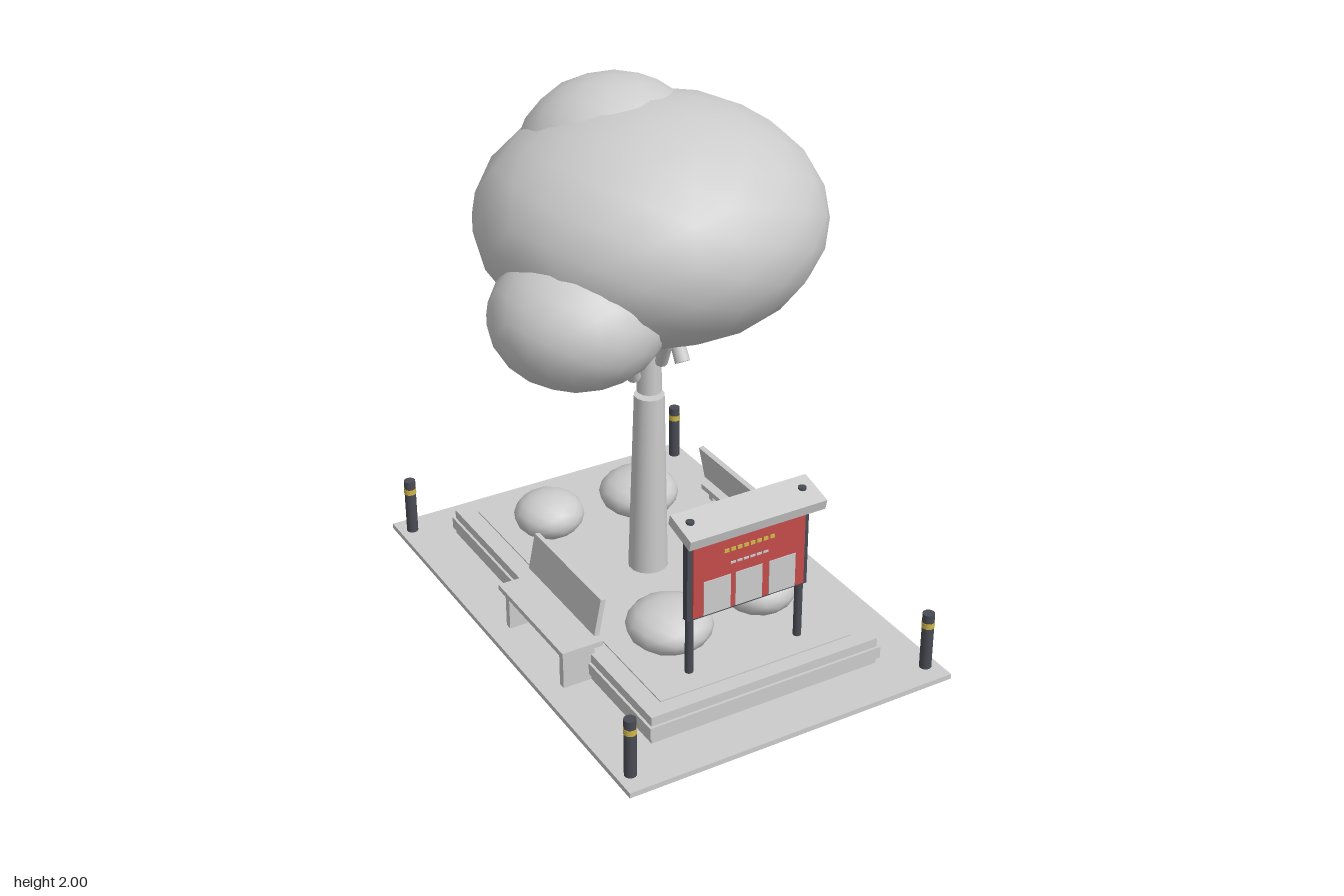
import * as THREE from 'three';

const mat = (name, color) => {
  const m = new THREE.MeshStandardMaterial({ color });
  m.name = name;
  return m;
};

export function createModel() {
  const root = new THREE.Group();
  root.name = 'parkIsland';
  const pale = mat('paleGrey', 0xcccccc);
  const dark = mat('darkMetal', 0x4a4c55);
  const red = mat('boardRed', 0xc44c4a);
  const yellow = mat('yellow', 0xd2b84a);

  const add = (name, geo, m, x, y, z, parent = root) => {
    const mesh = new THREE.Mesh(geo, m);
    mesh.name = name;
    mesh.position.set(x, y, z);
    parent.add(mesh);
    return mesh;
  };
  // Box given by its limits on each axis
  const box = (name, m, x0, x1, y0, y1, z0, z1, parent = root) =>
    add(name, new THREE.BoxGeometry(x1 - x0, y1 - y0, z1 - z0), m,
      (x0 + x1) / 2, (y0 + y1) / 2, (z0 + z1) / 2, parent);
  // Smooth faceted-outline ellipsoid
  const blob = (name, detail, c, r) =>
    add(name, new THREE.IcosahedronGeometry(1, detail).scale(...r), pale, ...c);
  // Tapered round limb between two points
  const limb = (name, a, b, r0, r1, sides = 12) => {
    const from = new THREE.Vector3(...a), dir = new THREE.Vector3(...b).sub(from);
    const mesh = add(name, new THREE.CylinderGeometry(r1, r0, dir.length(), sides), pale,
      ...from.clone().addScaledVector(dir, 0.5).toArray());
    mesh.quaternion.setFromUnitVectors(new THREE.Vector3(0, 1, 0), dir.normalize());
    return mesh;
  };

  // Paving and stepped planter
  const cx = -0.03;
  box('paving', pale, -0.68, 0.62, 0, 0.02, -0.96, 0.96);
  box('planterFoot', pale, cx - 0.46, cx + 0.46, 0.02, 0.045, -0.77, 0.77);
  box('planterWall', pale, cx - 0.47, cx + 0.47, 0.045, 0.09, -0.78, 0.78);
  box('planterCap', pale, cx - 0.46, cx + 0.46, 0.09, 0.125, -0.77, 0.77);
  box('soil', pale, cx - 0.39, cx + 0.39, 0.12, 0.13, -0.71, 0.71);

  // Bollards with a yellow band
  for (const x of [-0.63, 0.57]) for (const z of [-0.88, 0.875]) {
    const b = new THREE.Group();
    b.name = 'bollard';
    b.position.set(x, 0, z);
    root.add(b);
    add('bollardPost', new THREE.CylinderGeometry(0.022, 0.022, 0.225, 16), dark, 0, 0.1325, 0, b);
    add('bollardBand', new THREE.CylinderGeometry(0.0235, 0.0235, 0.022, 16), yellow, 0, 0.2, 0, b);
  }

  // Trunk and branches
  limb('lowerTrunk', [-0.03, 0.12, -0.055], [-0.028, 0.85, -0.045], 0.075, 0.056, 14);
  limb('upperTrunk', [-0.012, 0.77, -0.073], [-0.018, 1.3, -0.06], 0.048, 0.036);
  limb('branchLeft', [-0.1, 0.945, -0.03], [-0.22, 1.28, 0.12], 0.026, 0.02);
  limb('branchMiddle', [0.012, 0.98, -0.03], [-0.03, 1.28, 0.16], 0.026, 0.02);
  limb('branchRight', [0.098, 0.955, -0.025], [0.105, 1.3, -0.24], 0.028, 0.022);

  // Crown
  blob('crownMain', 3, [-0.015, 1.535, -0.055], [0.615, 0.417, 0.615]);
  blob('crownLobeFront', 3, [-0.415, 1.34, 0.16], [0.305, 0.24, 0.305]);
  blob('crownLobeBack', 3, [0.36, 1.38, -0.25], [0.36, 0.26, 0.36]);
  blob('crownTop', 3, [-0.07, 1.7, -0.22], [0.34, 0.3, 0.335]);

  // Bushes
  for (const [x, z, r] of [[-0.215, 0.42, 0.157], [0.18, 0.38, 0.14], [0.14, -0.425, 0.155], [-0.24, -0.45, 0.135]])
    blob('bush', 2, [x, 0.205, z], [r, 0.088, r]);

  // Benches facing outwards, offset along z on opposite sides
  for (const s of [-1, 1]) {
    const bench = new THREE.Group();
    bench.name = 'bench';
    bench.position.set(cx, 0, -s * 0.123);
    root.add(bench);
    const span = (name, a, b, y0, y1, z0, z1) =>
      box(name, pale, Math.min(s * a, s * b), Math.max(s * a, s * b), y0, y1, z0, z1, bench);
    span('benchSeat', 0.425, 0.585, 0.165, 0.185, -0.25, 0.25);
    for (const z of [-0.21, 0.21]) span('benchLeg', 0.445, 0.57, 0.02, 0.165, z - 0.014, z + 0.014);
    const back = span('benchBack', 0.426, 0.446, 0.213, 0.355, -0.25, 0.25);
    back.rotation.z = s * 0.2;
  }

  // Notice board
  const board = new THREE.Group();
  board.name = 'noticeBoard';
  root.add(board);
  for (const x of [-0.25, 0.195])
    add('boardPost', new THREE.CylinderGeometry(0.015, 0.015, 0.61, 12), dark, x, 0.43, 0.612, board);
  box('boardPanel', dark, -0.27, 0.215, 0.35, 0.68, 0.602, 0.63, board);
  box('boardFace', red, -0.25, 0.197, 0.36, 0.665, 0.63, 0.637, board);
  for (const x of [-0.21, -0.083, 0.052])
    box('noticeSheet', pale, x, x + 0.107, 0.362, 0.495, 0.637, 0.64, board);
  // Plain dashes across the board
  for (let i = 0; i < 8; i++) {
    const x = -0.13 + i * 0.026;
    box('yellowDash', yellow, x, x + 0.018, 0.586, 0.6, 0.637, 0.64, board);
    if (i > 0 && i < 7) box('paleDash', pale, x, x + 0.02, 0.536, 0.544, 0.637, 0.64, board);
  }
  const roof = box('boardRoof', pale, -0.295, 0.245, 0.686, 0.726, 0.55, 0.69, board);
  roof.rotation.x = 0.25;

  return root;
}
